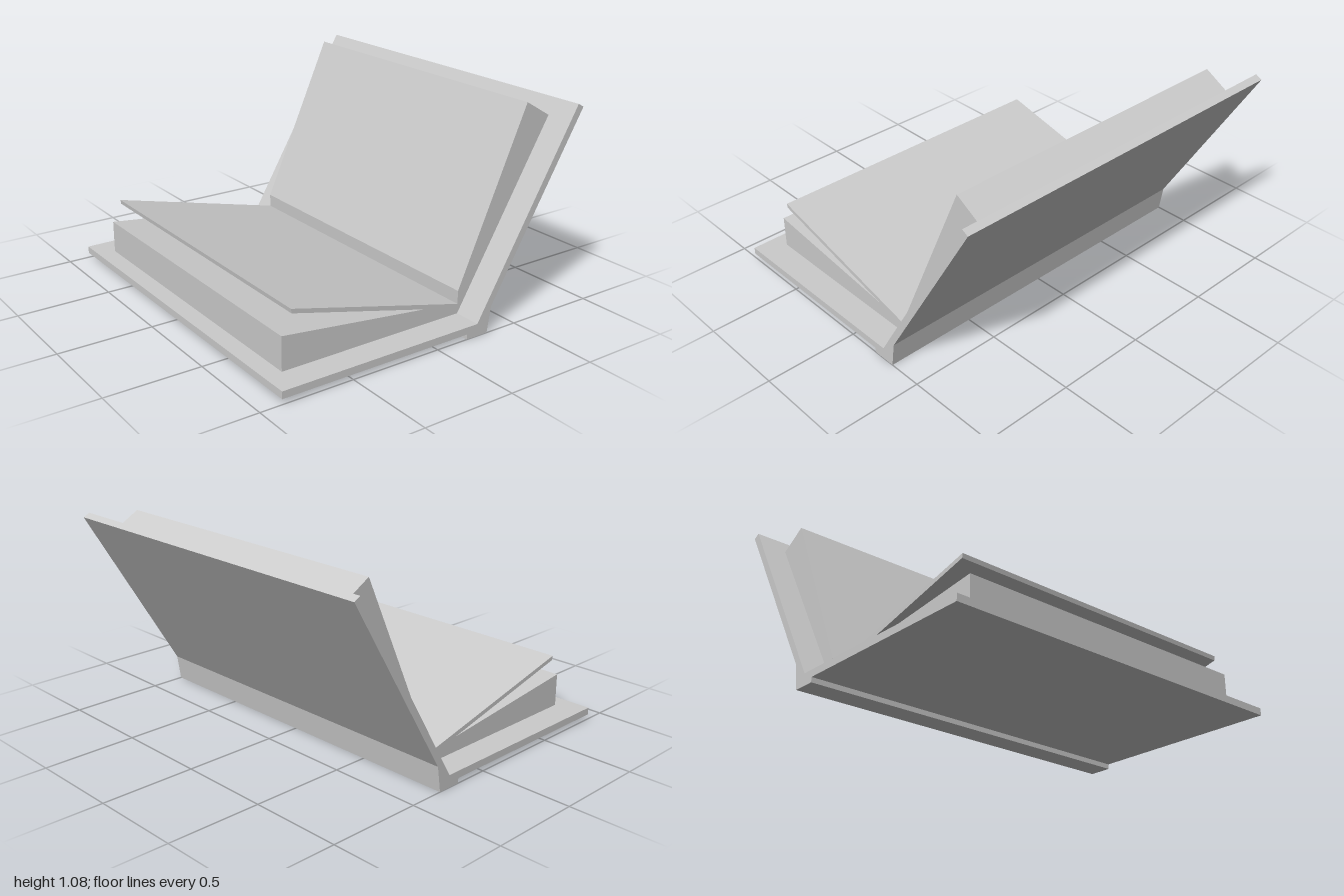
import * as THREE from 'three';

const material = new THREE.MeshStandardMaterial({ color: 0xcccccc, flatShading: true });

// Extrude a side profile of [z, y] points across x, centred on x = 0
function slab(name, width, points) {
  const shape = new THREE.Shape(points.map(([z, y]) => new THREE.Vector2(z, y)));
  const geometry = new THREE.ExtrudeGeometry(shape, { depth: width, bevelEnabled: false });
  geometry.translate(0, 0, -width / 2).rotateY(-Math.PI / 2);
  const mesh = new THREE.Mesh(geometry, material);
  mesh.name = name;
  return mesh;
}

export function createModel() {
  const book = new THREE.Group();
  book.name = 'openBook';
  const pageWidth = 1.706;

  // Cover: flat front board, spine block and leaning back board
  book.add(slab('cover', 2, [
    [0.885, 0.027], [0.885, 0.065], [-0.25, 0.065], [-0.85, 1.077], [-0.885, 1.058],
    [-0.335, 0.137], [-0.315, 0], [-0.185, 0], [-0.185, 0.027],
  ]));

  // Wedge of pages lying on the flat board
  book.add(slab('lowerPages', pageWidth, [
    [-0.25, 0.065], [0.79, 0.065], [0.79, 0.241], [-0.035, 0.145], [-0.25, 0.116],
  ]));

  // Leaf lifted above the lower pages
  book.add(slab('raisedLeaf', pageWidth, [
    [-0.25, 0.116], [-0.035, 0.145], [0.735, 0.337], [0.738, 0.36],
  ]));

  // Wedge of pages resting on the leaning board
  book.add(slab('upperPages', pageWidth, [
    [-0.25, 0.065], [-0.25, 0.186], [-0.651, 1.084], [-0.802, 0.996],
  ]));

  return book;
}
